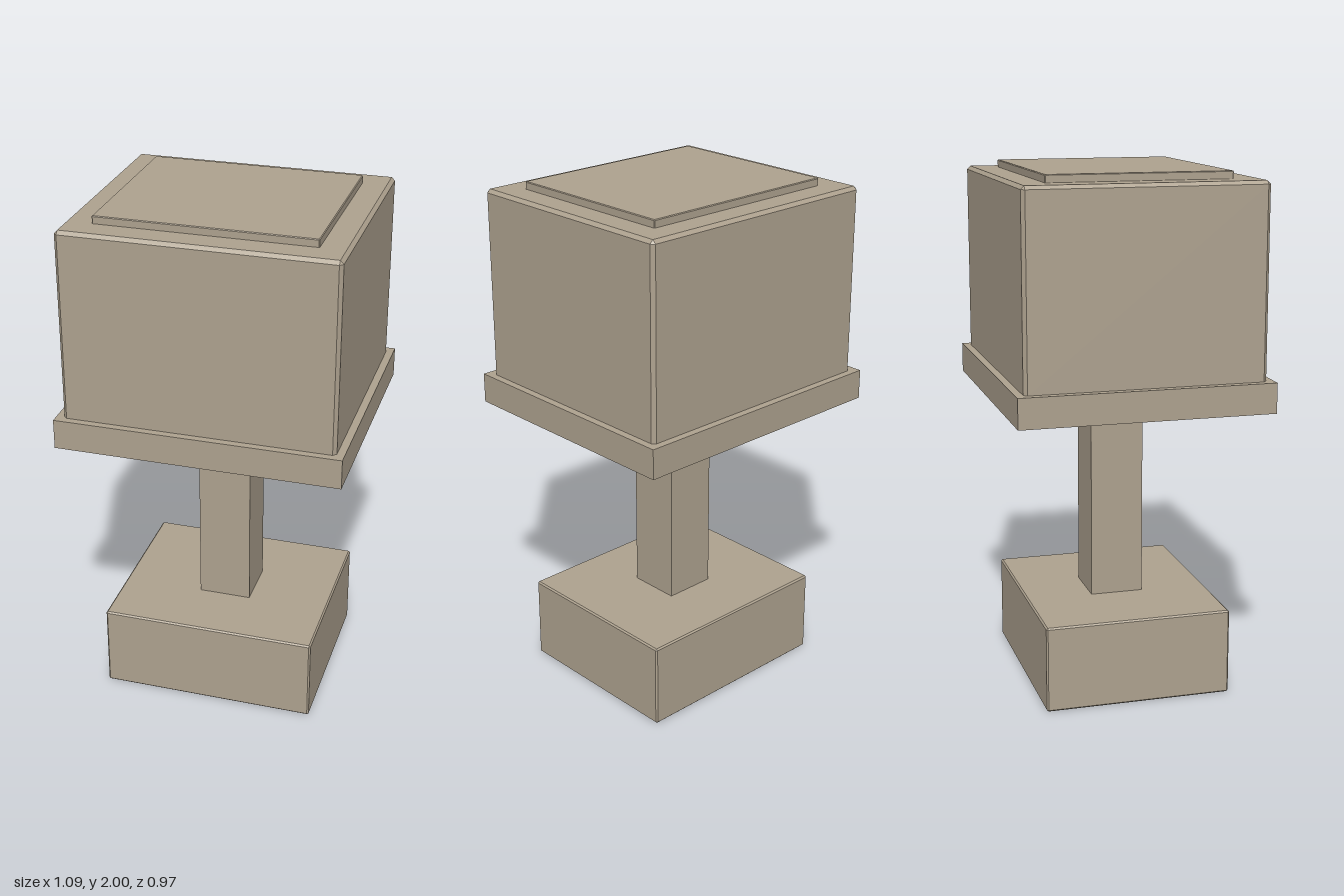
import * as THREE from 'three';
import { ConvexGeometry } from 'three/addons/geometries/ConvexGeometry.js';

// Box with 45 degree bevels of size c on every edge
function bevelBox(w, h, d, c) {
  const points = [];
  for (const sx of [-1, 1]) for (const sy of [-1, 1]) for (const sz of [-1, 1]) {
    const x = w / 2, y = h / 2, z = d / 2;
    points.push(
      new THREE.Vector3(sx * x, sy * (y - c), sz * (z - c)),
      new THREE.Vector3(sx * (x - c), sy * y, sz * (z - c)),
      new THREE.Vector3(sx * (x - c), sy * (y - c), sz * z)
    );
  }
  return new ConvexGeometry(points);
}

export function createModel() {
  const model = new THREE.Group();
  model.name = 'pedestalBox';
  const stone = new THREE.MeshStandardMaterial({ color: 0xaea28f });
  stone.name = 'warm stone';

  // name, width, depth, bottom, top, bevel
  const parts = [
    ['base', 0.84, 0.72, 0, 0.333, 0.006],
    ['post', 0.206, 0.206, 0.32, 1.14, 0],
    ['ledge', 1.086, 0.966, 1.128, 1.243, 0],
    ['body', 1.028, 0.908, 1.23, 1.971, 0.013],
    ['lid', 0.818, 0.696, 1.95, 2, 0.003],
  ];
  for (const [name, w, d, y0, y1, bevel] of parts) {
    const h = y1 - y0;
    const geometry = bevel ? bevelBox(w, h, d, bevel) : new THREE.BoxGeometry(w, h, d);
    const mesh = new THREE.Mesh(geometry, stone);
    mesh.name = name;
    mesh.position.y = (y0 + y1) / 2;
    model.add(mesh);
  }
  return model;
}
